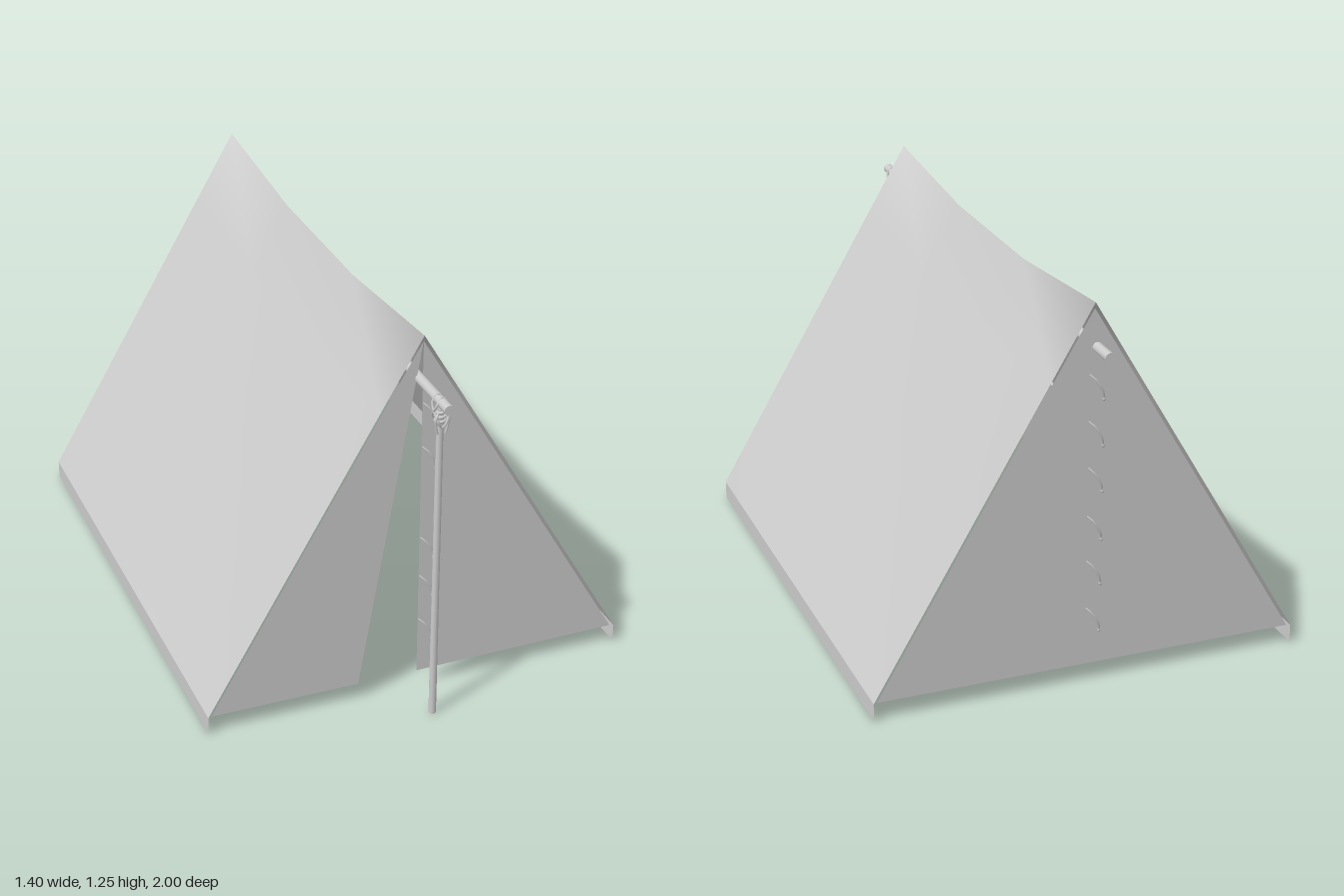
import * as THREE from 'three';

const FRONT = 0.79, BACK = -0.91, HALF = 0.7, EAVE = 0.06, PEAK = 1.25, POLE_X = -0.01;
const pole = new THREE.MeshStandardMaterial({ color: 0xcccccc });
const cloth = new THREE.MeshStandardMaterial({ color: 0xcccccc, side: THREE.DoubleSide });

function add(parent, name, geometry, material = pole) {
  const mesh = new THREE.Mesh(geometry, material);
  mesh.name = name;
  parent.add(mesh);
  return mesh;
}

// Sagging roof sheet: one ridge-to-eave section per station along z
function roofGeometry() {
  const stations = [[FRONT, 1.25], [0.23, 1.2], [-0.35, 1.2], [BACK, 1.25]];
  const steps = [-1, -0.96, -0.75, -0.5, -0.2, 0, 0.2, 0.5, 0.75, 0.96, 1];
  const positions = [], index = [], n = steps.length;
  stations.forEach(([z, ridge], i) => {
    const sag = (PEAK - ridge) * 0.3;
    for (const s of steps) {
      const t = Math.abs(s);
      const x = HALF * t - sag * Math.sin(Math.PI * t);
      positions.push(Math.sign(s) * x, ridge + (EAVE - ridge) * t, z);
      if (i === 0 || s === -1) continue;
      const d = positions.length / 3 - 1, c = d - 1, b = d - n, a = b - 1;
      index.push(a, b, d, a, d, c);
    }
  });
  const geometry = new THREE.BufferGeometry();
  geometry.setAttribute('position', new THREE.Float32BufferAttribute(positions, 3));
  geometry.setIndex(index);
  geometry.computeVertexNormals();
  return geometry;
}

function panel(parent, name, points, z) {
  const shape = new THREE.Shape(points.map(([x, y]) => new THREE.Vector2(x, y)));
  add(parent, name, new THREE.ShapeGeometry(shape), cloth).position.z = z;
}

function rope(parent, name, points, radius, closed = false) {
  const curve = new THREE.CatmullRomCurve3(points.map(p => new THREE.Vector3(...p)), closed);
  return add(parent, name, new THREE.TubeGeometry(curve, 16, radius, 6, closed));
}

// Row of short lacing cords hanging from the seam of an end wall
function lacing(name, heights) {
  const group = new THREE.Group();
  group.name = name;
  for (const y of heights) {
    rope(group, 'lacingCord', [[0, y + 0.045, -0.003], [0.018, y + 0.028, 0.006],
      [0.038, y - 0.005, 0.008], [0.048, y - 0.036, 0]], 0.004);
    const knot = add(group, 'cordKnot', new THREE.SphereGeometry(0.006, 8, 6));
    knot.position.set(0.048, y - 0.036, 0);
    knot.scale.y = 1.5;
  }
  return group;
}

export function createModel() {
  const tent = new THREE.Group();
  tent.name = 'tent';

  // Canvas roof and the upright skirts below the eaves
  add(tent, 'roof', roofGeometry(), cloth);
  for (const side of [-1, 1]) {
    const skirt = add(tent, side > 0 ? 'leftSkirt' : 'rightSkirt',
      new THREE.PlaneGeometry(FRONT - BACK, EAVE), cloth);
    skirt.rotation.y = side * Math.PI / 2;
    skirt.position.set(side * HALF, EAVE / 2, (FRONT + BACK) / 2);
  }

  // End walls: closed at the back, one flap drawn aside at the front
  const edge = HALF - 0.012, top = PEAK - 0.02;
  panel(tent, 'backWall', [[-edge, EAVE], [edge, EAVE], [0, top]], BACK + 0.005);
  panel(tent, 'frontLeftFlap', [[0, EAVE - 0.003], [edge, EAVE], [0, top]], FRONT - 0.005);
  panel(tent, 'frontRightFlap', [[-edge, EAVE], [-0.2, EAVE - 0.003], [0, top]], FRONT - 0.005);

  // Lacing on both seams
  const frontLacing = lacing('frontLacing', [0.98, 0.83, 0.51, 0.37, 0.21]);
  frontLacing.position.z = FRONT;
  const backLacing = lacing('backLacing', [0.98, 0.83, 0.68, 0.52, 0.37, 0.21]);
  backLacing.position.set(0.015, 0, BACK);
  backLacing.rotation.y = Math.PI;
  tent.add(frontLacing, backLacing);

  // Ridge pole and the single front post
  const ridge = add(tent, 'ridgePole', new THREE.CylinderGeometry(0.016, 0.016, 2, 12));
  ridge.rotation.x = Math.PI / 2;
  ridge.position.set(POLE_X, 1.108, 0);
  const post = add(tent, 'frontPost', new THREE.CylinderGeometry(0.011, 0.012, 1.095, 10));
  post.position.set(POLE_X, 0.5475, 0.935);

  // Rope lashing where the post meets the ridge pole
  const lashing = new THREE.Group();
  lashing.name = 'lashing';
  lashing.position.set(POLE_X, 0, 0.935);
  tent.add(lashing);
  for (const s of [-1, 1]) {
    rope(lashing, 'crossLoop', [[0, 1.127, s * 0.012], [0.019, 1.1, s * 0.016], [0.015, 1.05, -s * 0.02],
      [0, 1.025, -s * 0.014], [-0.015, 1.05, -s * 0.02], [-0.019, 1.1, s * 0.016]], 0.004, true);
    rope(lashing, 'ropeEnd', [[s * 0.012, 1.075, 0.012], [s * 0.02, 1.06, 0.018],
      [s * 0.018, 1.03, 0.014], [s * 0.013, 1.005, 0.012]], 0.004);
  }
  for (const y of [1.045, 1.06, 1.075]) {
    const wrap = add(lashing, 'wrap', new THREE.TorusGeometry(0.015, 0.005, 6, 14));
    wrap.rotation.x = Math.PI / 2;
    wrap.position.y = y;
  }
  return tent;
}
